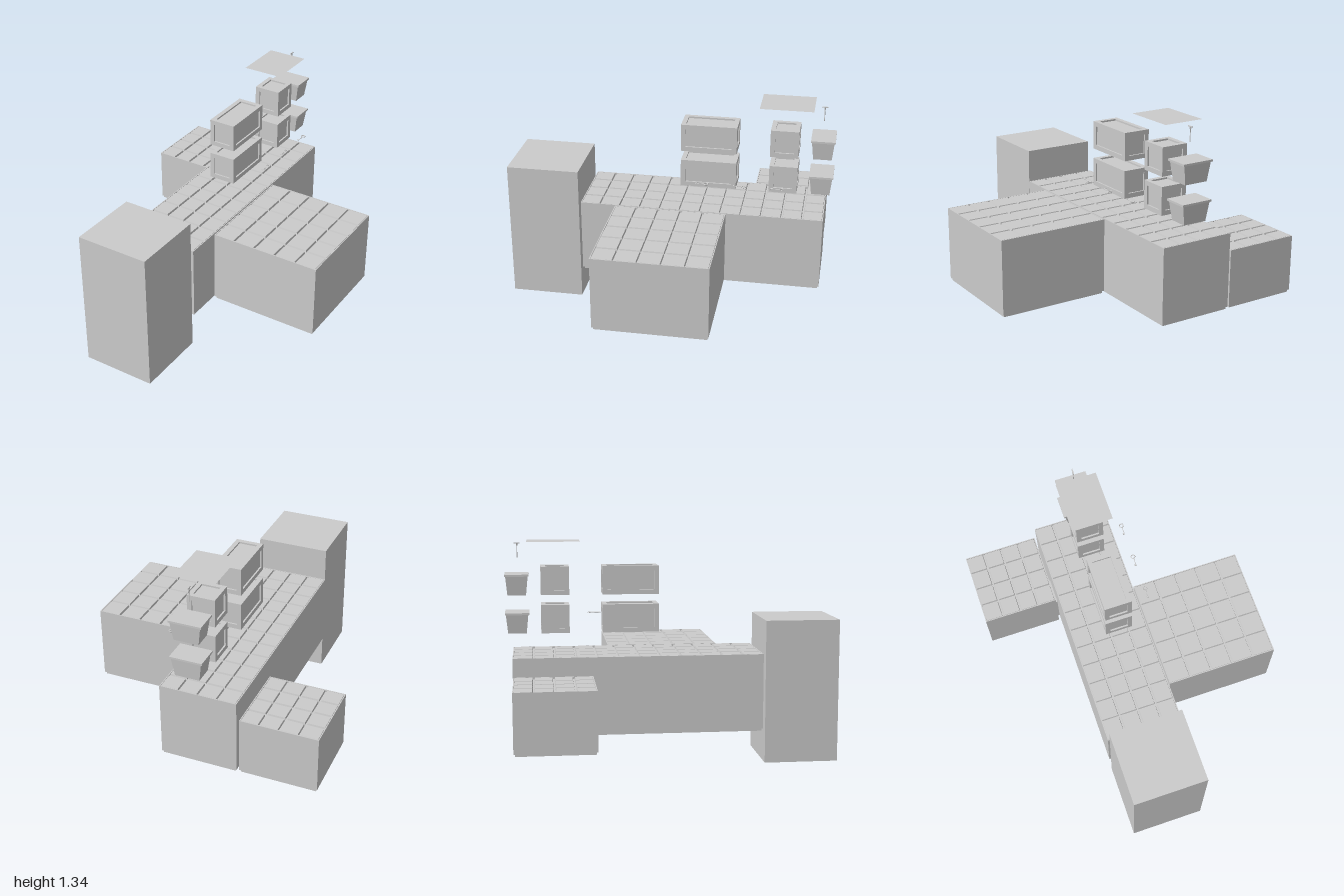
import * as THREE from 'three';
import { mergeGeometries } from 'three/addons/utils/BufferGeometryUtils.js';

const grey = new THREE.MeshStandardMaterial({ color: 0xcccccc, flatShading: true, side: THREE.DoubleSide });

// Box geometry given by its extents on each axis
function span(x0, x1, y0, y1, z0, z1) {
  return new THREE.BoxGeometry(x1 - x0, y1 - y0, z1 - z0)
    .translate((x0 + x1) / 2, (y0 + y1) / 2, (z0 + z1) / 2);
}

function add(parent, name, parts) {
  const mesh = new THREE.Mesh(Array.isArray(parts) ? mergeGeometries(parts) : parts, grey);
  mesh.name = name;
  parent.add(mesh);
  return mesh;
}

// Four-sided tapered block: bottom half-sizes are scaled by k
function tapered(w, h, d, kx, kz) {
  const geo = new THREE.BoxGeometry(w, h, d);
  const p = geo.attributes.position;
  for (let i = 0; i < p.count; i++) {
    if (p.getY(i) < 0) p.setXYZ(i, p.getX(i) * kx, p.getY(i), p.getZ(i) * kz);
  }
  geo.computeVertexNormals();
  return geo;
}

// Room block with a stepped base and a roof of square panels between grooves
function room(parent, name, x0, x1, top, z0, z1, nx, nz) {
  const g = new THREE.Group();
  g.name = name;
  const deep = 0.012, gap = 0.008, lip = 0.006, base = 0.215;
  add(g, 'walls', [
    span(x0, x1, base, top - deep, z0, z1),
    span(x0, x0 + lip, top - deep, top, z0, z1),
    span(x1 - lip, x1, top - deep, top, z0, z1),
    span(x0 + lip, x1 - lip, top - deep, top, z0, z0 + lip),
    span(x0 + lip, x1 - lip, top - deep, top, z1 - lip, z1),
  ]);
  add(g, 'base', span(x0 + 0.008, x1 - 0.008, 0.2, base, z0 + 0.008, z1 - 0.008));
  const dx = (x1 - x0) / nx, dz = (z1 - z0) / nz, panels = [];
  for (let i = 0; i < nx; i++) {
    for (let j = 0; j < nz; j++) {
      const panel = tapered(dx - 2 * gap, deep, dz - 2 * gap, 1.06, 1.06);
      panels.push(panel.translate(x0 + (i + 0.5) * dx, top - deep / 2, z0 + (j + 0.5) * dz));
    }
  }
  add(g, 'roofPanels', panels);
  parent.add(g);
}

// Crate: recessed core inside twelve edge beams
function crate(parent, name, y, z, w, h, d) {
  const t = 0.028, inset = 0.01, parts = [];
  parts.push(new THREE.BoxGeometry(w - 2 * inset, h - 2 * inset, d - 2 * inset));
  for (const a of [-1, 1]) {
    for (const b of [-1, 1]) {
      const px = a * (w - t) / 2, py = b * (h - t) / 2;
      parts.push(new THREE.BoxGeometry(t, t, d).translate(px, py, 0));
      parts.push(new THREE.BoxGeometry(w - 2 * t, t, t).translate(0, py, a * (d - t) / 2));
      parts.push(new THREE.BoxGeometry(t, h - 2 * t, t).translate(px, 0, b * (d - t) / 2));
    }
  }
  add(parent, name, parts).position.set(-0.0625, y, z);
}

// Tapered bin with a rim slab on top
function bin(parent, y) {
  const g = new THREE.Group();
  g.name = 'bin';
  add(g, 'binBody', tapered(0.18, 0.113, 0.133, 0.82, 0.83)).position.y = 0.0565;
  add(g, 'binRim', new THREE.BoxGeometry(0.196, 0.012, 0.145)).position.y = 0.119;
  g.position.set(-0.0625, y, -0.9275);
  parent.add(g);
}

// Small key lying along z: ring, shaft and bit
function key(parent, z) {
  const g = new THREE.Group();
  g.name = 'key';
  add(g, 'keyRing', new THREE.TorusGeometry(0.012, 0.003, 6, 14).rotateX(Math.PI / 2));
  add(g, 'keyShaft', new THREE.CylinderGeometry(0.0022, 0.0022, 0.054, 6).rotateX(Math.PI / 2)).position.z = 0.038;
  add(g, 'keyBit', new THREE.BoxGeometry(0.01, 0.003, 0.01)).position.set(-0.005, 0, 0.059);
  g.position.set(0.165, 0.877, z);
  parent.add(g);
}

export function createModel() {
  const model = new THREE.Group();
  model.name = 'roomKit';

  // Plain tall block at the front
  add(model, 'entranceTower', span(-0.335, 0.12, 0, 0.87, 0.55, 1));

  // Rooms with panelled roofs
  room(model, 'longHall', -0.342, 0.126, 0.67, -0.957, 0.535, 4, 12);
  room(model, 'largeRoom', 0.133, 0.82, 0.67, -0.37, 0.317, 5, 5);
  room(model, 'smallRoom', -0.822, -0.356, 0.56, -0.952, -0.486, 4, 4);

  // Short passages joining the rooms
  add(model, 'frontPassage', span(-0.215, 0, 0.21, 0.48, 0.53, 0.555));
  add(model, 'largeRoomPassage', span(0.12, 0.14, 0.21, 0.445, -0.1, 0.06));
  add(model, 'smallRoomPassage', span(-0.36, -0.335, 0.21, 0.445, -0.68, -0.52));

  // Two stacked levels of crates and bins
  for (const y of [0.79, 1.02]) {
    crate(model, 'longCrate', y + 0.085, -0.245, 0.168, 0.17, 0.34);
    crate(model, 'smallCrate', y + 0.085, -0.7, 0.168, 0.17, 0.17);
    bin(model, y);
  }

  // Thin sheet above the crates
  add(model, 'sheet', new THREE.PlaneGeometry(0.25, 0.318).rotateX(-Math.PI / 2)).position.set(-0.06, 1.34, -0.707);

  // Keys beside the crates
  for (const z of [-0.703, -0.478, -0.252]) key(model, z);

  // Upright lever with a crossbar
  const lever = new THREE.Group();
  lever.name = 'lever';
  add(lever, 'leverShaft', new THREE.CylinderGeometry(0.0025, 0.0025, 0.08, 6)).position.y = 0.04;
  add(lever, 'leverKnob', new THREE.CylinderGeometry(0.006, 0.004, 0.014, 8)).position.y = 0.08;
  add(lever, 'leverBar', new THREE.BoxGeometry(0.006, 0.005, 0.036)).position.y = 0.088;
  lever.position.set(-0.06, 1.24, -0.923);
  model.add(lever);

  return model;
}
